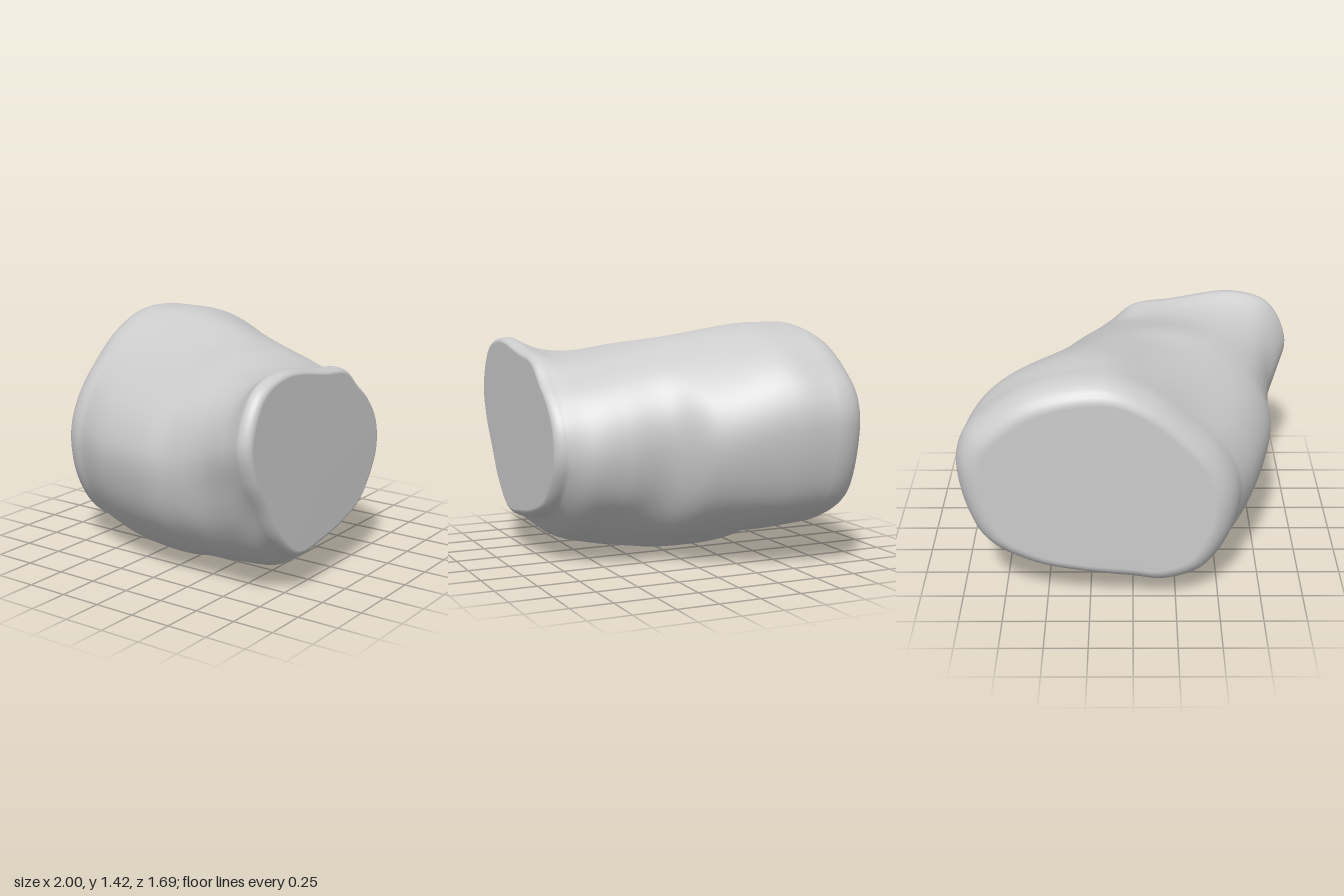
import * as THREE from 'three';

// Cross-sections as x, y pairs, counterclockwise seen from the front
const frontLip = [.4,.68, .38,.85, .28,1, .13,1.12, 0,1.22, -.25,1.26, -.65,1.31, -.88,1.23, -1,.98,
  -.95,.77, -.84,.58, -.7,.37, -.5,.22, -.25,.23, .02,.29, .2,.37, .34,.53];
const collar = [.485,.68, .45,.87, .34,1.03, .15,1.15, 0,1.21, -.3,1.24, -.62,1.235, -.83,1.14, -.945,.92,
  -.9,.68, -.81,.46, -.64,.24, -.42,.12, -.15,.12, .1,.2, .25,.29, .42,.48];
const neck = [.535,.7, .505,.91, .39,1.08, .17,1.21, -.1,1.25, -.35,1.24, -.6,1.19, -.79,1.06, -.87,.85,
  -.84,.6, -.76,.38, -.58,.17, -.35,.075, -.1,.07, .12,.15, .3,.27, .46,.45];
const shoulder = [.595,.75, .57,.95, .45,1.13, .23,1.26, 0,1.3, -.25,1.28, -.55,1.18, -.76,1.01, -.845,.79,
  -.83,.57, -.75,.36, -.55,.14, -.3,.05, -.05,.04, .15,.12, .36,.24, .52,.47];
const middle = [.78,.75, .74,.95, .6,1.12, .35,1.28, .1,1.34, -.2,1.28, -.5,1.17, -.74,.99, -.845,.77,
  -.82,.53, -.73,.33, -.52,.11, -.3,.02, -.05,.015, .18,.1, .45,.22, .68,.45];
const rump = [.95,.85, .9,1.07, .75,1.24, .48,1.37, .17,1.41, -.1,1.32, -.4,1.15, -.63,.96, -.735,.74,
  -.71,.5, -.6,.28, -.42,.1, -.22,.02, 0,.04, .25,.15, .55,.22, .82,.42];
const backEnd = [.995,.87, .95,1.06, .83,1.19, .57,1.35, .16,1.415, -.1,1.32, -.33,1.15, -.52,.95, -.61,.74,
  -.6,.52, -.52,.32, -.4,.18, -.2,.11, 0,.13, .3,.18, .6,.25, .87,.43];
const sections = [[frontLip, .77], [collar, .64], [neck, .44], [shoulder, .21], [middle, .01],
  [rump, -.4], [backEnd, -.66]];

const AROUND = 136, ALONG = 80, ROUND = 8;

// Smooth closed outline through the section points
function outline([flat, z]) {
  const pts = [];
  for (let i = 0; i < flat.length; i += 2) pts.push(new THREE.Vector3(flat[i], flat[i + 1], z));
  const curve = new THREE.CatmullRomCurve3(pts, true);
  return Array.from({ length: AROUND }, (_, j) => curve.getPoint(j / AROUND));
}

function centreOf(row) {
  return row.reduce((c, p) => c.add(p), new THREE.Vector3()).divideScalar(row.length);
}

// Rows that follow the wall's slope (row to inner) while rolling over to a flat end
function roundedEnd(row, inner, depth, inset, drift) {
  const c = centreOf(row);
  return Array.from({ length: ROUND }, (_, i) => {
    const a = (i + 1) / ROUND * Math.PI / 2;
    const s = 1 - inset * (1 - Math.cos(a));
    const dz = depth * Math.sin(a);
    return row.map((p, j) => {
      const k = drift * dz / (p.z - inner[j].z);
      return new THREE.Vector3(
        c.x + (p.x - c.x) * s + (p.x - inner[j].x) * k,
        c.y + (p.y - c.y) * s + (p.y - inner[j].y) * k,
        p.z + dz);
    });
  });
}

function bodyGeometry() {
  // Blend the outlines along z
  const rings = sections.map(outline);
  const strands = rings[0].map((_, j) => new THREE.CatmullRomCurve3(rings.map(r => r[j])));
  const wall = Array.from({ length: ALONG + 1 }, (_, i) => strands.map(s => s.getPoint(i / ALONG)));
  const rows = [
    ...roundedEnd(wall[0], wall[3], .073, .07, .2).reverse(),
    ...wall,
    ...roundedEnd(wall[ALONG], wall[ALONG - 3], -.185, .17, .35),
  ];

  const verts = rows.flat();
  const index = [];
  for (let i = 0; i < rows.length - 1; i++) {
    for (let j = 0; j < AROUND; j++) {
      const k = (j + 1) % AROUND;
      const a = i * AROUND + j, b = i * AROUND + k;
      index.push(a, a + AROUND, b, b, a + AROUND, b + AROUND);
    }
  }
  // Flat ends
  const last = (rows.length - 1) * AROUND;
  const front = verts.push(centreOf(rows[0])) - 1;
  const back = verts.push(centreOf(rows[rows.length - 1])) - 1;
  for (let j = 0; j < AROUND; j++) {
    const k = (j + 1) % AROUND;
    index.push(front, j, k, back, last + k, last + j);
  }

  const geo = new THREE.BufferGeometry().setFromPoints(verts);
  geo.setIndex(index);
  geo.computeVertexNormals();
  return geo;
}

export function createModel() {
  const group = new THREE.Group();
  group.name = 'slantedBlock';
  const body = new THREE.Mesh(bodyGeometry(), new THREE.MeshStandardMaterial({ color: 0xcccccc }));
  body.name = 'body';
  group.add(body);
  return group;
}
